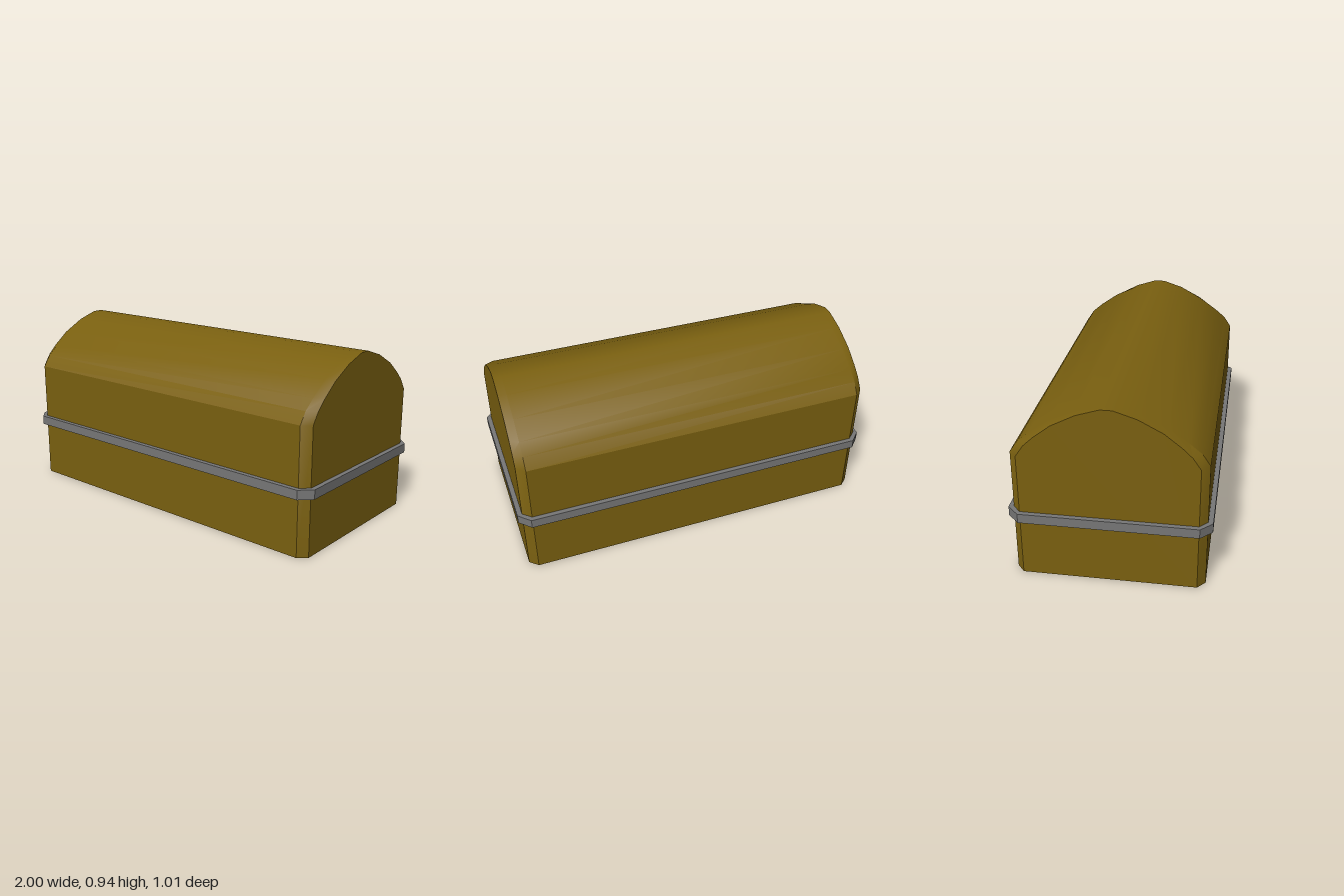
import * as THREE from 'three';
import { toCreasedNormals } from 'three/addons/utils/BufferGeometryUtils.js';

// Right half of the cross-section as [z, y], from the floor up to the ridge
const MIDDLE = [[0.48, 0], [0.48, 0.67], [0.44, 0.73], [0.38, 0.78], [0.28, 0.85], [0.15, 0.91], [0.03, 0.945]];
const END = [[0.44, 0], [0.44, 0.67], [0.4, 0.73], [0.35, 0.778], [0.265, 0.845], [0.145, 0.908], [0.03, 0.945]];

const mirrored = half => [...half, ...half.map(([z, y]) => [-z, y]).reverse()];

// Joins equal-length closed cross-sections along x and caps both ends
function loft(sections) {
  const n = sections[0].points.length;
  const positions = [];
  const index = [];
  for (const { x, points } of sections) {
    for (const [z, y] of points) positions.push(x, y, z);
  }
  for (let i = 0; i < sections.length - 1; i++) {
    for (let j = 0; j < n; j++) {
      const k = (j + 1) % n;
      const a = i * n + j, b = a + n, d = i * n + k, c = d + n;
      index.push(a, b, c, a, c, d);
    }
  }
  const last = (sections.length - 1) * n;
  for (let j = 1; j < n - 1; j++) {
    index.push(0, j, j + 1, last, last + j + 1, last + j);
  }
  const geometry = new THREE.BufferGeometry();
  geometry.setAttribute('position', new THREE.Float32BufferAttribute(positions, 3));
  geometry.setIndex(index);
  return toCreasedNormals(geometry, 0.5);
}

// Rectangle with cut corners, centred on the origin
function cutRectangle(w, d, cut) {
  return [
    [w - cut, -d], [w, cut - d], [w, d - cut], [w - cut, d],
    [cut - w, d], [-w, d - cut], [-w, cut - d], [cut - w, -d],
  ].map(([x, y]) => new THREE.Vector2(x, y));
}

export function createModel() {
  const group = new THREE.Group();
  group.name = 'chest';

  // Body with chamfered corners and domed lid
  const body = new THREE.Mesh(
    loft([
      { x: -0.975, points: mirrored(END) },
      { x: -0.93, points: mirrored(MIDDLE) },
      { x: 0.93, points: mirrored(MIDDLE) },
      { x: 0.975, points: mirrored(END) },
    ]),
    new THREE.MeshStandardMaterial({ color: 0x7a6010 }),
  );
  body.name = 'body';
  group.add(body);

  // Metal band around the body
  const ring = new THREE.Shape(cutRectangle(1, 0.505, 0.06));
  ring.holes.push(new THREE.Path(cutRectangle(0.97, 0.475, 0.045).reverse()));
  const bandGeometry = new THREE.ExtrudeGeometry(ring, { depth: 0.05, bevelEnabled: false });
  bandGeometry.rotateX(-Math.PI / 2);
  bandGeometry.translate(0, 0.311, 0);
  const band = new THREE.Mesh(bandGeometry, new THREE.MeshStandardMaterial({ color: 0x777777 }));
  band.name = 'band';
  group.add(band);

  return group;
}
